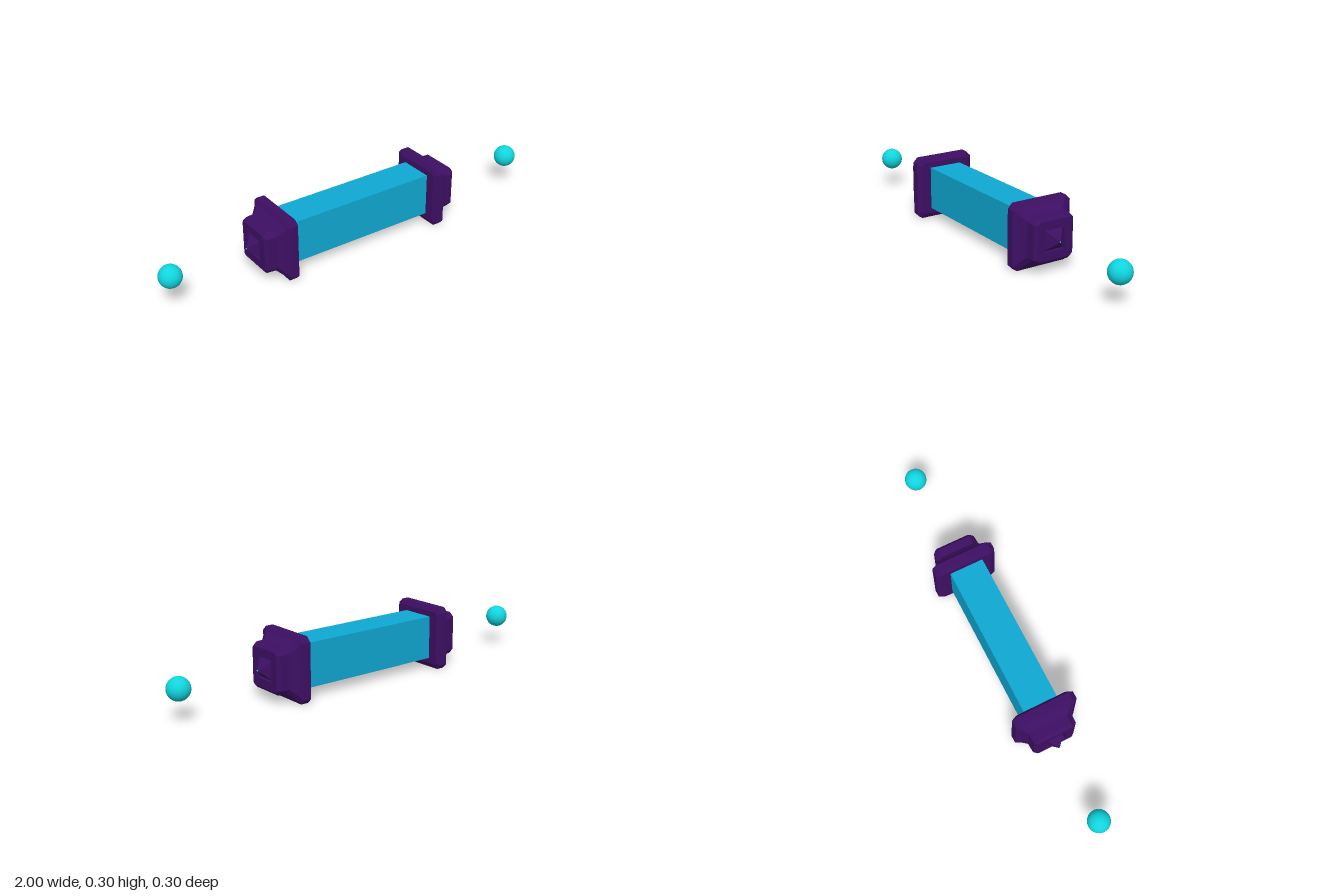
import * as THREE from 'three';

const CY = 0.153;      // height of the long axis
const CX = -0.01;      // the bar sits slightly off the middle

// Square ring with cut corners in the plane x = s
function ring([s, h, cut]) {
  const a = h - cut;
  return [[h, -a], [h, a], [a, h], [-a, h], [-h, a], [-h, -a], [-a, -h], [a, -h]]
    .map(([y, z]) => new THREE.Vector3(s, y, z));
}

// Flat-shaded skin through rings running towards +x, closed at both ends
function loft(sections) {
  const rings = sections.map(ring);
  const pos = [];
  const tri = (a, b, c) => {
    const area = b.clone().sub(a).cross(c.clone().sub(a)).length();
    if (area > 1e-9) for (const p of [a, b, c]) pos.push(p.x, p.y, p.z);
  };
  for (let i = 0; i < rings.length - 1; i++) {
    for (let k = 0; k < 8; k++) {
      const n = (k + 1) % 8;
      const [a, b, c, d] = [rings[i][k], rings[i][n], rings[i + 1][n], rings[i + 1][k]];
      tri(a, c, b);
      tri(a, d, c);
    }
  }
  const first = rings[0], last = rings[rings.length - 1];
  for (let k = 1; k < 7; k++) {
    tri(first[0], first[k], first[k + 1]);
    tri(last[0], last[k + 1], last[k]);
  }
  // Make the skin face outwards, judged by its signed volume
  let volume = 0;
  const v = i => new THREE.Vector3(pos[i], pos[i + 1], pos[i + 2]);
  for (let i = 0; i < pos.length; i += 9) volume += v(i).dot(v(i + 3).cross(v(i + 6)));
  if (volume < 0) {
    for (let i = 0; i < pos.length; i += 9) {
      for (let j = 0; j < 3; j++) {
        [pos[i + 3 + j], pos[i + 6 + j]] = [pos[i + 6 + j], pos[i + 3 + j]];
      }
    }
  }
  const geo = new THREE.BufferGeometry();
  geo.setAttribute('position', new THREE.Float32BufferAttribute(pos, 3));
  geo.computeVertexNormals();
  return geo;
}

export function createModel() {
  const model = new THREE.Group();
  const purple = new THREE.MeshStandardMaterial({ color: 0x3d0f63, flatShading: true });
  const blue = new THREE.MeshStandardMaterial({ color: 0x0fa8d2 });
  const cyan = new THREE.MeshStandardMaterial({ color: 0x10d5de });

  const add = (parent, name, geo, mat, x, y) => {
    const mesh = new THREE.Mesh(geo, mat);
    mesh.name = name;
    mesh.position.set(x, y, 0);
    parent.add(mesh);
    return mesh;
  };

  // Square bar between the caps
  add(model, 'bar', new THREE.BoxGeometry(0.78, 0.208, 0.166), blue, CX, CY);

  // Cap: bevelled flange, stepped block, square recess and central spike
  const capGeo = loft([
    [0.378, 0.13, 0.012], [0.391, 0.152, 0.023], [0.428, 0.152, 0.023],
    [0.443, 0.13, 0.02], [0.47, 0.107, 0.025], [0.515, 0.105, 0.025],
    [0.529, 0.09, 0.01], [0.529, 0.05, 0], [0.512, 0.05, 0], [0.567, 0.002, 0],
  ]);
  const tipGeo = loft([[0.565, 0.003, 0], [0.569, 0.002, 0]]);
  const orbGeo = new THREE.SphereGeometry(0.053, 32, 20);

  for (const [side, turn] of [['left', 0], ['right', Math.PI]]) {
    const end = new THREE.Group();
    end.name = side + 'End';
    end.position.set(CX, CY, 0);
    end.rotation.y = turn;
    add(end, side + 'Cap', capGeo, purple, 0, 0);
    add(end, side + 'SpikeTip', tipGeo, cyan, 0, 0);
    model.add(end);

    // Floating orb beyond the cap
    add(model, side + 'Orb', orbGeo, cyan, turn ? -0.947 : 0.947, CY);
  }
  return model;
}
